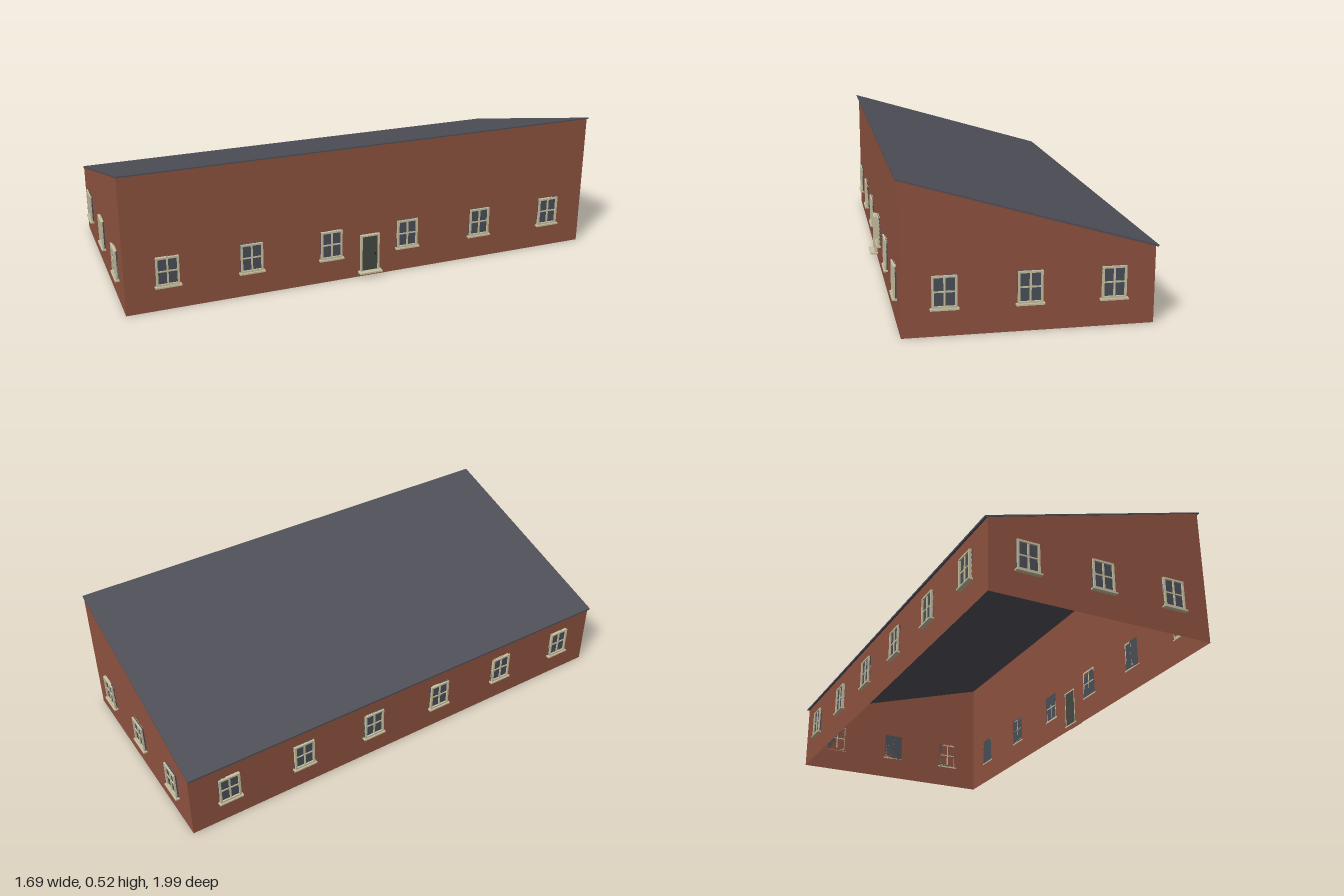
import * as THREE from 'three';

const L = 0.908, W = 0.416;        // half length and half width of the walls
const HIGH = 0.51, LOW = 0.262;    // wall heights of the tall and low side

const mat = (name, color, side = THREE.FrontSide) => {
  const m = new THREE.MeshStandardMaterial({ color, side });
  m.name = name;
  return m;
};

export function createModel() {
  const brick = mat('brick', 0x8f5340, THREE.DoubleSide);
  const slate = mat('slate', 0x50505a);
  const cream = mat('cream trim', 0xc9c1a2);
  const glass = mat('window glass', 0x4a5058);
  const paint = mat('door paint', 0x454a42);
  const metal = mat('dark metal', 0x24241f);

  const add = (parent, name, geo, material, x = 0, y = 0, z = 0) => {
    const mesh = new THREE.Mesh(geo, material);
    mesh.name = name;
    mesh.position.set(x, y, z);
    parent.add(mesh);
    return mesh;
  };
  const box = (parent, name, material, w, h, d, x, y, z) =>
    add(parent, name, new THREE.BoxGeometry(w, h, d), material, x, y, z);

  const house = new THREE.Group();
  house.name = 'house';

  // Each side is a group whose +z faces out of the wall
  const makeSide = (name, angle, dist) => {
    const g = new THREE.Group();
    g.name = name;
    g.rotation.y = angle;
    g.position.set(Math.sin(angle) * dist, 0, Math.cos(angle) * dist);
    house.add(g);
    return g;
  };
  const wall = (side, half, leftH, rightH) => {
    const s = new THREE.Shape([
      new THREE.Vector2(-half, 0), new THREE.Vector2(half, 0),
      new THREE.Vector2(half, rightH), new THREE.Vector2(-half, leftH),
    ]);
    add(side, 'wall', new THREE.ShapeGeometry(s), brick);
  };

  // Four-pane window with frame, glazing bars and sill
  const addWindow = (side, x) => {
    const g = new THREE.Group();
    g.name = 'window';
    g.position.set(x, 0.15, 0);
    side.add(g);
    const w = 0.082, h = 0.108, t = 0.007;
    box(g, 'glass', glass, w, h, 0.005, 0, 0, 0.0025);
    for (const s of [-1, 1]) {
      box(g, 'frameSide', cream, t, h, 0.011, s * (w - t) / 2, 0, 0.0055);
      box(g, 'frameRail', cream, w - 2 * t, t, 0.011, 0, s * (h - t) / 2, 0.0055);
    }
    box(g, 'mullion', cream, 0.006, h - 2 * t, 0.009, 0, 0, 0.0045);
    box(g, 'glazingBar', cream, w - 2 * t, 0.005, 0.008, 0, 0, 0.004);
    box(g, 'sill', cream, 0.094, 0.006, 0.016, 0, -h / 2 - 0.003, 0.008);
  };

  const front = makeSide('tallWall', 0, W);
  const back = makeSide('lowWall', Math.PI, W);
  const rightEnd = makeSide('gableEnd', Math.PI / 2, L);
  const leftEnd = makeSide('gableEnd', -Math.PI / 2, L);
  wall(front, L, HIGH, HIGH);
  wall(back, L, LOW, LOW);
  wall(rightEnd, W, HIGH, LOW);
  wall(leftEnd, W, LOW, HIGH);

  for (const side of [front, back])
    for (let i = 0; i < 6; i++) addWindow(side, (i - 2.5) * L / 3);
  for (const side of [leftEnd, rightEnd])
    for (let i = -1; i <= 1; i++) addWindow(side, i * W * 2 / 3);

  // Door with frame, handle and step
  const door = new THREE.Group();
  door.name = 'door';
  front.add(door);
  box(door, 'doorLeaf', paint, 0.064, 0.138, 0.006, 0, 0.093, 0.003);
  for (const s of [-1, 1])
    box(door, 'doorJamb', cream, 0.006, 0.144, 0.012, s * 0.034, 0.093, 0.006);
  box(door, 'doorHead', cream, 0.074, 0.006, 0.012, 0, 0.165, 0.006);
  box(door, 'handle', metal, 0.005, 0.008, 0.005, 0.022, 0.088, 0.008);
  box(door, 'doorStep', cream, 0.09, 0.006, 0.028, 0, 0.021, 0.014);

  // Single-pitch roof slab, overhanging the two eaves
  const e = W + 0.01, t = 0.006, rise = (HIGH - LOW) / (2 * W) * 0.01;
  const section = new THREE.Shape([
    new THREE.Vector2(-e, HIGH + rise - 0.001), new THREE.Vector2(e, LOW - rise - 0.001),
    new THREE.Vector2(e, LOW - rise + t), new THREE.Vector2(-e, HIGH + rise + t - 0.002),
  ]);
  const roofGeo = new THREE.ExtrudeGeometry(section, { depth: 2 * L + 0.002, bevelEnabled: false });
  roofGeo.translate(0, 0, -L - 0.001).rotateY(Math.PI / 2);
  add(house, 'roof', roofGeo, slate);

  // The building stands turned on its plot
  house.rotation.y = THREE.MathUtils.degToRad(58);
  const model = new THREE.Group();
  model.name = 'building';
  model.add(house);
  return model;
}
